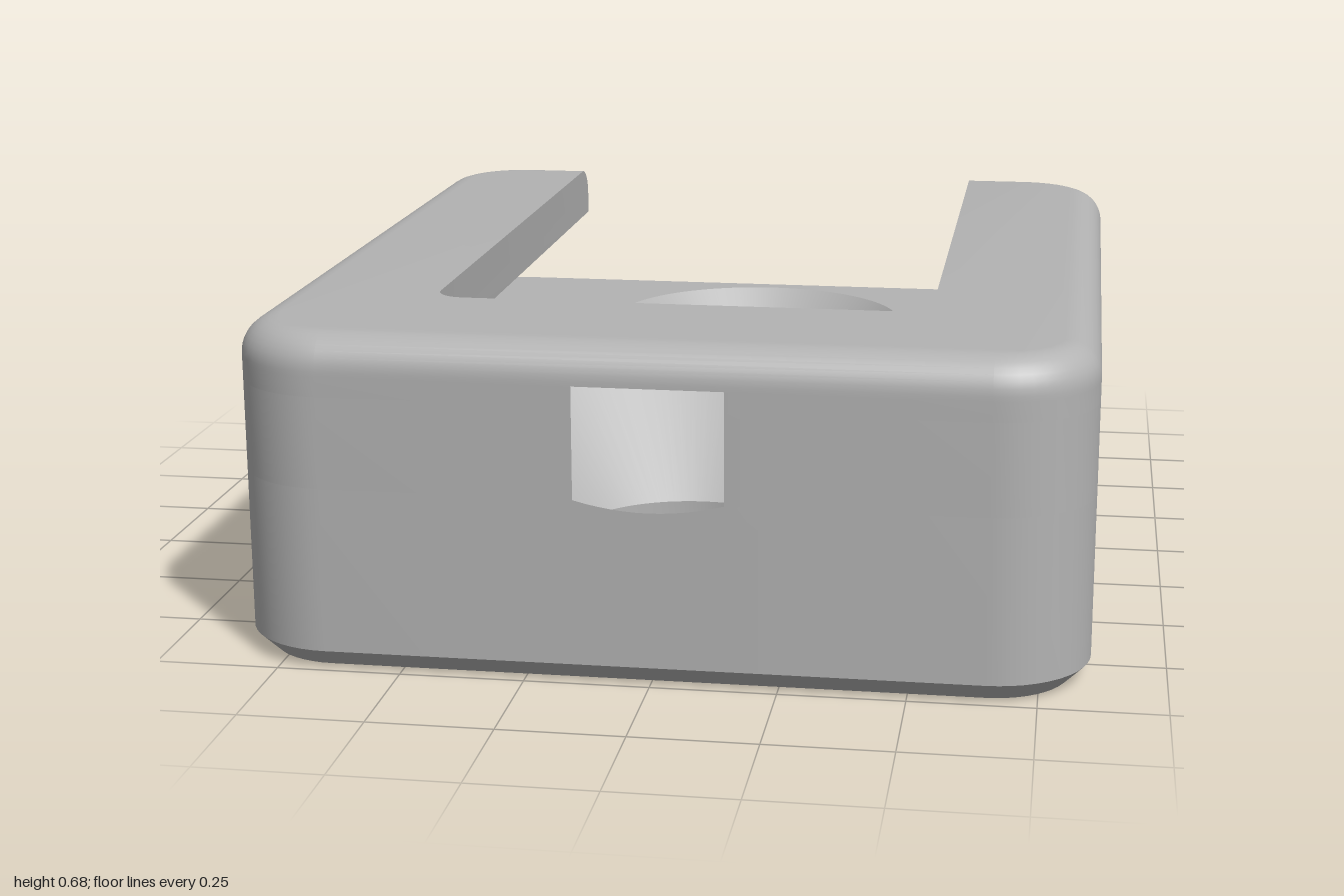
import * as THREE from 'three';
import { toCreasedNormals } from 'three/addons/utils/BufferGeometryUtils.js';

const FLOOR = 0.375, UNDERCUT_TOP = 0.56, RECESS_TOP = 0.6, TOP = 0.68, FILLET = 0.07;
const RECESS_Z = 0.52, RECESS_R = 0.502, SLOPE = 0.92;

// Points on an arc in the (x, z) plane
function arc(cx, cz, r, a0, a1, n) {
  const pts = [];
  for (let i = 0; i <= n; i++) {
    const a = a0 + (a1 - a0) * i / n;
    pts.push(new THREE.Vector2(cx + r * Math.cos(a), cz + r * Math.sin(a)));
  }
  return pts;
}
const corner = (sx, sz, a0, inset = 0, a1 = a0 + Math.PI / 2) =>
  arc(sx * 0.65, sz * 0.8, 0.2 - inset, a0, a1, 12);
const H = Math.PI / 2;
const outline = (inset) => [
  ...corner(1, -1, -H, inset), ...corner(1, 1, 0, inset),
  ...corner(-1, 1, H, inset), ...corner(-1, -1, Math.PI, inset)];
const recessArc = (a0, a1, n) => arc(0, RECESS_Z, RECESS_R, a0, a1, n);
const GAP = Math.acos(Math.sqrt(RECESS_R ** 2 - 0.48 ** 2) / RECESS_R); // where the recess breaks the front

// Flat layer between two heights
function layer(pts, y0, y1, holes = []) {
  const shape = new THREE.Shape(pts);
  holes.forEach((h) => shape.holes.push(new THREE.Path(h)));
  const g = new THREE.ExtrudeGeometry(shape, { depth: y1 - y0, bevelEnabled: false });
  return g.rotateX(H).translate(0, y1, 0);
}

// Capped skin through loops of equal point count, listed from bottom to top
function loft(levels) {
  const pos = [];
  const put = ([pts, y], i) => pos.push(pts[i].x, y, pts[i].y);
  for (let k = 0; k < levels.length - 1; k++) {
    const lo = levels[k], hi = levels[k + 1], n = lo[0].length;
    for (let i = 0; i < n; i++) {
      const j = (i + 1) % n;
      put(lo, i); put(hi, i); put(lo, j);
      put(lo, j); put(hi, i); put(hi, j);
    }
  }
  const first = levels[0], last = levels[levels.length - 1];
  for (const [a, b, c] of THREE.ShapeUtils.triangulateShape(first[0], [])) [a, b, c].forEach((i) => put(first, i));
  for (const [a, b, c] of THREE.ShapeUtils.triangulateShape(last[0], [])) [a, c, b].forEach((i) => put(last, i));
  const g = new THREE.BufferGeometry();
  g.setAttribute('position', new THREE.Float32BufferAttribute(pos, 3));
  return g;
}

// Countersunk blind hole, seen from inside
function socket(rTop, rHole) {
  const yCone = FLOOR - (rTop - rHole) * SLOPE;
  const profile = [[rTop, FLOOR], [rHole, yCone], [rHole, 0.08], [0, 0.08]];
  return new THREE.LatheGeometry(profile.map(([r, y]) => new THREE.Vector2(r, y)), 96);
}

export function createModel() {
  const group = new THREE.Group();
  const grey = new THREE.MeshStandardMaterial({ color: 0xb3b3b3 });
  grey.name = 'grey plastic';
  const add = (name, geometry) => {
    const mesh = new THREE.Mesh(toCreasedNormals(geometry, 0.5), grey);
    mesh.name = name;
    group.add(mesh);
  };

  // Chamfered underside
  add('bottomChamfer', loft([[outline(0.04), 0], [outline(0), 0.04]]));

  // Base block up to the slot floor, open for both sockets
  const basePts = [
    ...corner(1, -1, -H), ...corner(1, 1, 0),
    ...recessArc(GAP, -Math.PI - GAP, 80),
    ...corner(-1, 1, H), ...corner(-1, -1, Math.PI)];
  add('base', layer(basePts, 0.04, FLOOR, [arc(0, -0.605, 0.355, 0, Math.PI * 2 * 95 / 96, 95)]));

  // Sockets; the front one is trimmed at the front face
  add('backSocket', socket(0.355, 0.17).translate(0, 0, -0.605));
  const front = socket(RECESS_R, 0.26);
  const p = front.attributes.position;
  for (let i = 0; i < p.count; i++) {
    if (p.getZ(i) <= 0.48) continue;
    const k = 0.48 / p.getZ(i);
    p.setXYZ(i, p.getX(i) * k, p.getY(i) - RECESS_R * (1 - k) * SLOPE, 0.48);
  }
  add('frontSocket', front.translate(0, 0, RECESS_Z));

  // Front face below the window, with its dipped upper edge
  const half = RECESS_R * Math.cos(GAP);
  const sill = [new THREE.Vector2(-half, 0.04), new THREE.Vector2(half, 0.04)];
  for (let i = 0; i <= 12; i++) {
    const x = half * (1 - i / 6);
    sill.push(new THREE.Vector2(x, FLOOR - (RECESS_R - Math.hypot(x, 0.48)) * SLOPE));
  }
  add('windowSill', new THREE.ShapeGeometry(new THREE.Shape(sill)).translate(0, 0, 1));

  // Side walls around the undercut, then the lower part of the lips
  const wall = [
    ...corner(1, -1, -Math.acos(0.3), 0, 0), ...corner(1, 1, 0),
    ...recessArc(GAP, Math.asin(0.21 / RECESS_R), 20), new THREE.Vector2(0.71, 0.73)];
  const lip = [
    new THREE.Vector2(0.51, -1), ...corner(1, -1, -H), ...corner(1, 1, 0),
    ...recessArc(GAP, 0.08, 24), new THREE.Vector2(0.51, 0.56)];
  for (const [side, s] of [['left', 1], ['right', -1]]) {
    const mirror = (pts) => pts.map((v) => new THREE.Vector2(v.x * s, v.y));
    add(side + 'Wall', layer(mirror(wall), FLOOR, UNDERCUT_TOP));
    add(side + 'Lip', layer(mirror(lip), UNDERCUT_TOP, RECESS_TOP));
  }

  // U-shaped top rim with a rounded outer edge
  const rim = (inset) => [
    new THREE.Vector2(0.51, -1 + inset), ...outline(inset), new THREE.Vector2(-0.51, -1 + inset),
    ...arc(-0.45, 0.56, 0.06, Math.PI, H, 6), ...arc(0.45, 0.56, 0.06, H, 0, 6)];
  const levels = [[rim(0), RECESS_TOP]];
  for (let k = 0; k <= 8; k++) {
    const a = H * k / 8;
    levels.push([rim(FILLET * (1 - Math.cos(a))), TOP - FILLET + FILLET * Math.sin(a)]);
  }
  add('topRim', loft(levels));

  return group;
}
